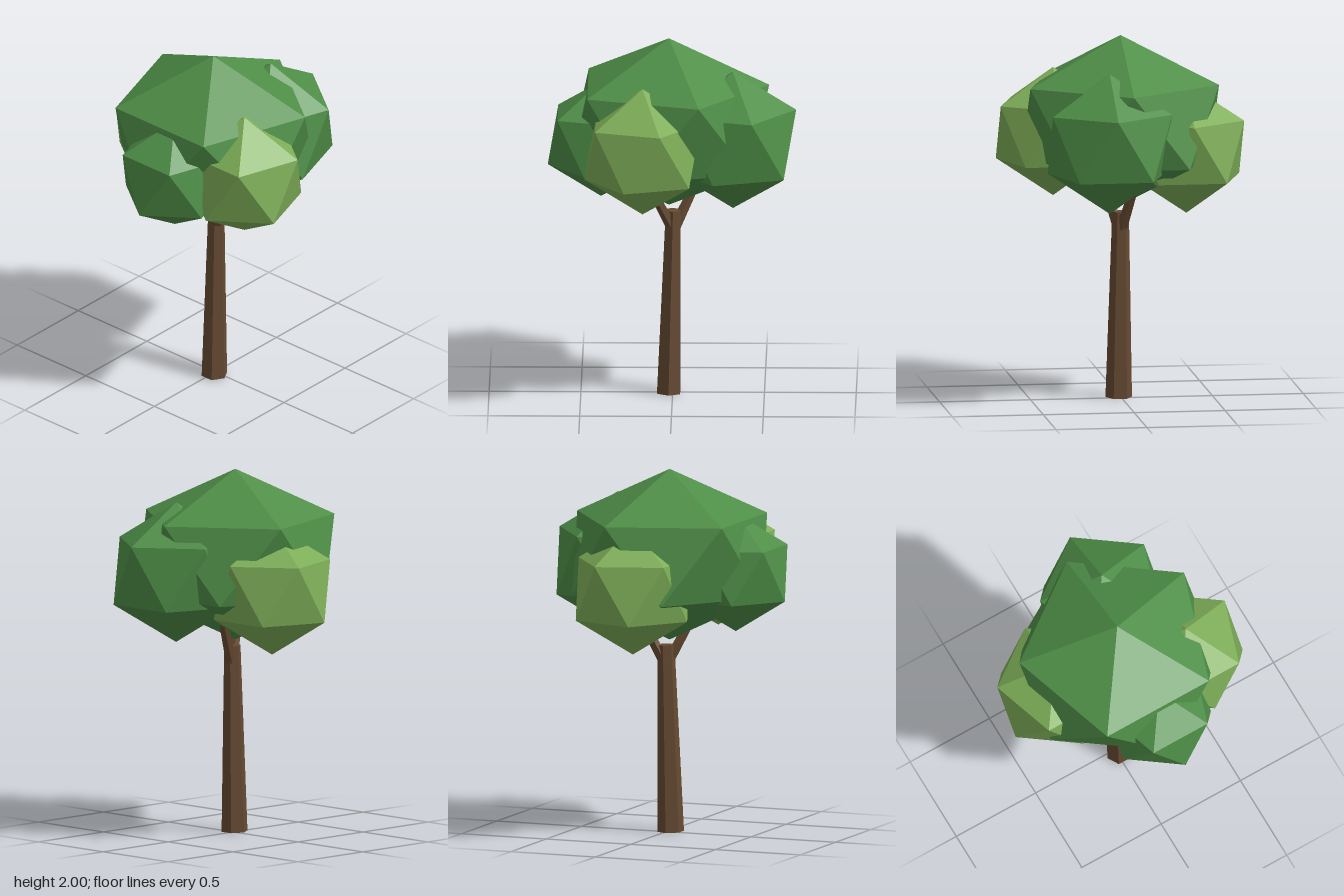
import * as THREE from 'three';
import { ConvexGeometry } from 'three/addons/geometries/ConvexGeometry.js';

const material = (name, color) => {
  const m = new THREE.MeshStandardMaterial({ color, flatShading: true });
  m.name = name;
  return m;
};

// Icosahedron standing on a point: two poles and two staggered rings of five
function clumpGeometry(rx, ry) {
  const k = 1 / Math.sqrt(5);
  const points = [new THREE.Vector3(0, ry, 0), new THREE.Vector3(0, -ry, 0)];
  for (let i = 0; i < 10; i++) {
    const a = (i * Math.PI) / 5;
    points.push(new THREE.Vector3(
      2 * k * rx * Math.cos(a), (i % 2 ? -k : k) * ry, 2 * k * rx * Math.sin(a)));
  }
  return new ConvexGeometry(points);
}

// Tapered prism running between two points
function limb(name, from, to, r0, r1, sides, mat) {
  const a = new THREE.Vector3(...from);
  const b = new THREE.Vector3(...to);
  const dir = b.clone().sub(a);
  const mesh = new THREE.Mesh(new THREE.CylinderGeometry(r1, r0, dir.length(), sides), mat);
  mesh.name = name;
  mesh.position.copy(a).add(b).multiplyScalar(0.5);
  mesh.quaternion.setFromUnitVectors(new THREE.Vector3(0, 1, 0), dir.normalize());
  return mesh;
}

export function createModel() {
  const tree = new THREE.Group();
  tree.name = 'tree';
  const bark = material('bark brown', 0x664a32);
  const leaf = material('leaf green', 0x4e8e47);
  const lightLeaf = material('light leaf green', 0x7dad57);

  // Leaning trunk and its forked branches
  tree.add(
    limb('trunk', [-0.022, 0.002, 0.012], [0.002, 1.03, 0.005], 0.073, 0.046, 6, bark),
    limb('leftBranch', [0.015, 0.94, 0], [0.17, 1.26, -0.07], 0.032, 0.022, 5, bark),
    limb('rightBranch', [-0.005, 0.94, 0.015], [-0.15, 1.24, 0.1], 0.032, 0.022, 5, bark),
  );

  // Foliage: name, centre, horizontal radius, vertical radius, colour
  const clumps = [
    ['crown', [-0.02, 1.53, 0.003], 0.61, 0.47, leaf],
    ['leftClump', [0.33, 1.457, 0.11], 0.385, 0.385, leaf],
    ['rightClump', [-0.39, 1.445, 0.05], 0.324, 0.324, leaf],
    ['frontClump', [-0.16, 1.455, 0.354], 0.354, 0.354, lightLeaf],
    ['backClump', [0.05, 1.38, -0.35], 0.358, 0.358, lightLeaf],
  ];
  for (const [name, centre, rx, ry, mat] of clumps) {
    const mesh = new THREE.Mesh(clumpGeometry(rx, ry), mat);
    mesh.name = name;
    mesh.position.set(...centre);
    tree.add(mesh);
  }
  return tree;
}
